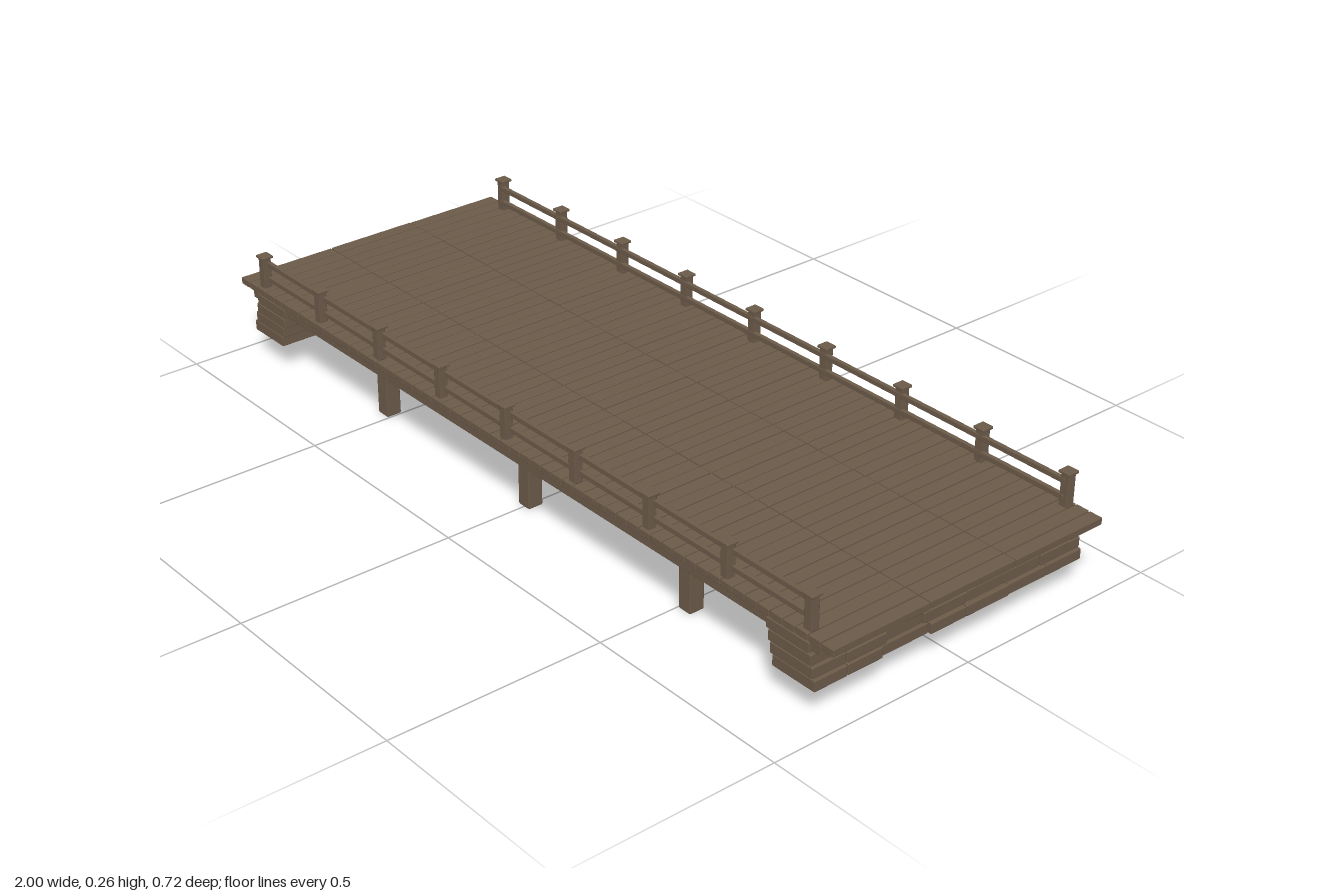
import * as THREE from 'three';
import { mergeGeometries } from 'three/addons/utils/BufferGeometryUtils.js';
import { RoundedBoxGeometry } from 'three/addons/geometries/RoundedBoxGeometry.js';

export function createModel() {
  const model = new THREE.Group();
  model.name = 'footbridge';
  const wood = new THREE.MeshStandardMaterial({ color: 0x6b5a48 });
  wood.name = 'weathered brown';

  // Small seeded generator for uneven planks and stones
  let seed = 7;
  const rand = () => (seed = (seed * 16807) % 2147483647) / 2147483647;

  // Box with softened edges, centred on x, y, z
  const block = (w, h, d, x, y, z, r = 0.0015) =>
    new RoundedBoxGeometry(w, h, d, 1, r).translate(x, y, z);
  const add = (name, parts) => {
    const mesh = new THREE.Mesh(mergeGeometries(parts), wood);
    mesh.name = name;
    model.add(mesh);
  };

  // Deck: narrow cross planks, each in three lengths
  const planks = [];
  const count = 58, pitch = 2 / count;
  const joints = [-0.363, -0.117, 0.113, 0.363];
  for (let i = 0; i < count; i++) {
    const x = -1 + (i + 0.5) * pitch;
    for (let j = 0; j < 3; j++) {
      const a = joints[j] + 0.001, b = joints[j + 1] - 0.001;
      const lift = (rand() - 0.5) * 0.001;
      planks.push(block(pitch - 0.003, 0.016, b - a, x, 0.175 + lift, (a + b) / 2));
    }
  }
  add('deckPlanks', planks);

  // Stringers running the length of the bridge
  const stringers = [-0.315, -0.115, 0, 0.115, 0.315].map(
    z => block(1.92, 0.016, 0.018, 0, 0.160, z));
  add('stringers', stringers);
  const edgeBeams = [-1, 1].map(s => block(1.92, 0.023, 0.02, 0, 0.1565, s * 0.345));
  add('edgeBeams', edgeBeams);

  // Support frames: three posts, cap beam and crossed braces
  for (const x of [-0.52, 0, 0.52]) {
    const posts = [], braces = [];
    for (const z of [-0.285, 0, 0.285]) {
      posts.push(block(0.036, 0.146, 0.037, x, 0.073, z, 0.003));
      posts.push(block(0.095, 0.009, 0.03, x, 0.143, z));
    }
    for (const mid of [-0.1425, 0.1425]) {
      for (const s of [-1, 1]) {
        const g = new RoundedBoxGeometry(0.009, 0.012, 0.29, 1, 0.0015);
        g.rotateX(s * 0.2).translate(x + s * 0.006, 0.108, mid);
        braces.push(g);
      }
    }
    add('supportPosts', posts);
    add('capBeam', [block(0.03, 0.016, 0.66, x, 0.144, 0)]);
    add('crossBraces', braces);
  }

  // Abutments: four courses of uneven blocks, stepping out toward the base
  for (const side of [-1, 1]) {
    const stones = [];
    for (let row = 0; row < 4; row++) {
      const y0 = 0.066 + row * 0.0252;
      let z = -0.363, first = true;
      while (z < 0.362) {
        let len = 0.075 + rand() * 0.05;
        if (first) len *= 0.4 + 0.6 * ((row + 1) % 2);
        first = false;
        if (z + len > 0.33) len = 0.363 - z;
        const h = 0.0235 + rand() * 0.0014;
        const x = side * (0.894 - row * 0.0065 + (rand() - 0.5) * 0.008);
        // The top course sits below the edge beams at the corners
        const top = row === 3 ? Math.min(h, 0.0245) : h;
        stones.push(block(0.116, top, len - 0.002, x, y0 + top / 2, z + len / 2, 0.002));
        z += len;
      }
    }
    add(side < 0 ? 'rightAbutment' : 'leftAbutment', stones);
  }

  // Railings: capped posts with two rails on each side
  for (const side of [-1, 1]) {
    const posts = [], caps = [];
    for (let i = -4; i <= 4; i++) {
      const x = i * 0.23;
      posts.push(block(0.021, 0.076, 0.021, x, 0.219, side * 0.343, 0.002));
      caps.push(block(0.029, 0.006, 0.029, x, 0.259, side * 0.343));
    }
    add('railPosts', posts);
    add('railPostCaps', caps);
    add('rails', [0.203, 0.24].map(
      y => block(1.84, 0.012, 0.01, 0, y, side * 0.3365)));
  }
  return model;
}
